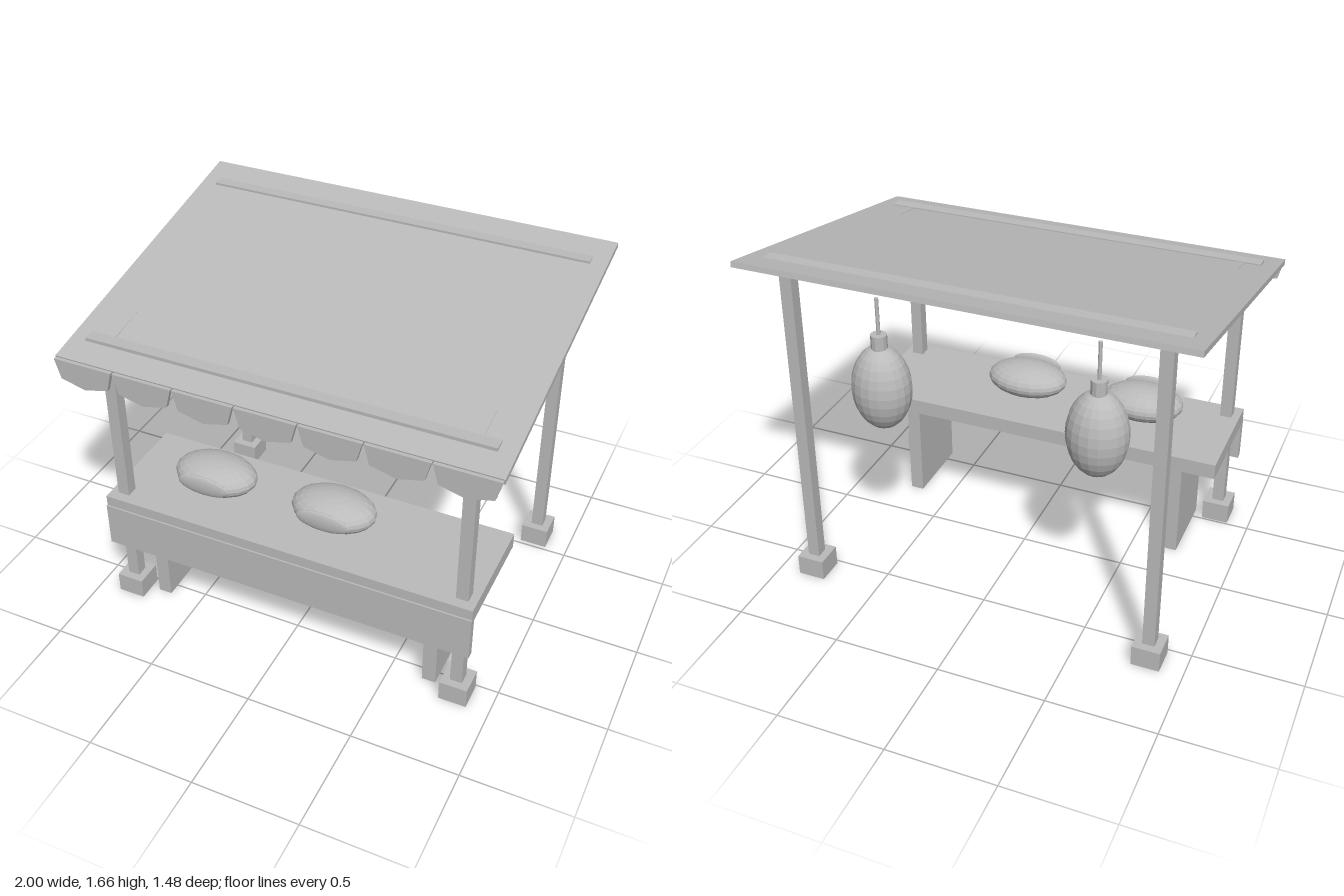
import * as THREE from 'three';

const grey = new THREE.MeshStandardMaterial({ color: 0xbbbbbb, flatShading: true });
grey.name = 'plain grey';

export function createModel() {
  const stall = new THREE.Group();
  stall.name = 'marketStall';

  const add = (name, geometry, x, y, z, parent = stall) => {
    const mesh = new THREE.Mesh(geometry, grey);
    mesh.name = name;
    mesh.position.set(x, y, z);
    parent.add(mesh);
    return mesh;
  };
  // Box given by its extents on y and z, centred on x
  const box = (name, x, width, y0, y1, z0, z1) =>
    add(name, new THREE.BoxGeometry(width, y1 - y0, z1 - z0), x, (y0 + y1) / 2, (z0 + z1) / 2);
  const ellipsoid = (name, rx, ry, rz, x, y, z, parent) =>
    add(name, new THREE.SphereGeometry(1, 20, 14).scale(rx, ry, rz), x, y, z, parent);
  // Sloping slab between two centre points on the yz plane
  const slope = (name, x, width, thickness, z0, y0, z1, y1) => {
    const length = Math.hypot(z1 - z0, y1 - y0);
    const mesh = add(name, new THREE.BoxGeometry(width, thickness, length), x, (y0 + y1) / 2, (z0 + z1) / 2);
    mesh.rotation.x = Math.atan2(y1 - y0, z0 - z1);
    return mesh;
  };

  // Frame: posts on square feet, crossbars and sloping side rails
  for (const side of [-1, 1]) {
    for (const [z, top] of [[0.575, 1.4], [-0.585, 1.61]]) {
      box('post', side * 0.83, 0.056, 0.05, top, z - 0.028, z + 0.028);
      box('postFoot', side * 0.83, 0.13, 0, 0.1, z - 0.065, z + 0.065);
    }
    slope('sideRail', side * 0.83, 0.04, 0.035, 0.575, 1.399, -0.585, 1.599);
  }
  box('frontCrossbar', 0, 1.85, 1.37, 1.424, 0.546, 0.603);
  box('backCrossbar', 0, 1.85, 1.58, 1.634, -0.613, -0.557);

  // Roof
  slope('roof', 0, 2, 0.026, 0.722, 1.373, -0.737, 1.644);

  // Scalloped valance along the front eave
  const outline = [[-0.14, 1.38], [-0.115, 1.287], [0, 1.257], [0.115, 1.287], [0.14, 1.38]];
  const scallop = new THREE.ExtrudeGeometry(
    new THREE.Shape(outline.map(([x, y]) => new THREE.Vector2(x, y))),
    { depth: 0.02, bevelEnabled: false });
  for (let i = 0; i < 7; i++) add('valanceScallop', scallop, (i - 3) * 2 / 7, 0, 0.72);

  // Counter with front apron and two panel legs
  box('counterTop', 0, 1.79, 0.522, 0.596, 0.116, 0.65);
  box('counterApron', 0, 1.79, 0.325, 0.544, 0.622, 0.658);
  for (const side of [-1, 1]) box('counterLeg', side * 0.688, 0.065, 0, 0.53, 0.197, 0.562);

  // Goods on the counter, each with a cut face at the front
  for (const x of [-0.455, 0.14]) {
    const joint = new THREE.Group();
    joint.name = 'counterGoods';
    joint.position.set(x, 0.688, 0.387);
    stall.add(joint);
    ellipsoid('goodsBody', 0.2, 0.082, 0.138, 0, 0, 0, joint);
    ellipsoid('goodsFace', 0.128, 0.05, 0.016, 0, 0.017, 0.126, joint);
  }

  // Goods hanging at the back
  for (const x of [-0.505, 0.505]) {
    const hanging = new THREE.Group();
    hanging.name = 'hangingGoods';
    hanging.position.set(x, 0, -0.43);
    stall.add(hanging);
    ellipsoid('hangingBody', 0.139, 0.205, 0.123, 0, 1.003, 0, hanging);
    add('hangingNeck', new THREE.CylinderGeometry(0.037, 0.037, 0.08, 12), 0, 1.225, 0, hanging);
    add('hangingCord', new THREE.CylinderGeometry(0.009, 0.009, 0.19, 8), 0, 1.345, 0, hanging);
  }
  return stall;
}
